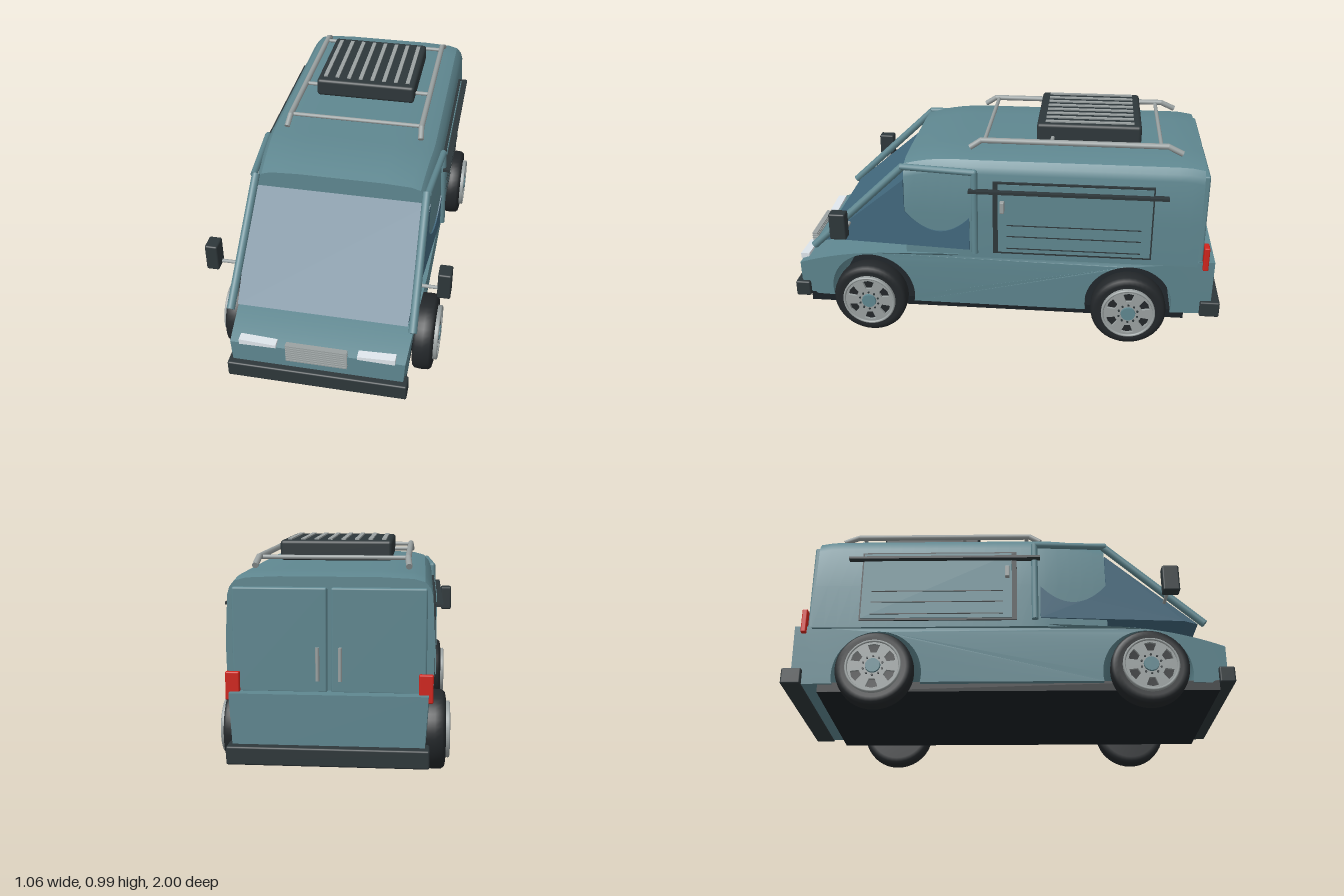
import * as THREE from 'three';
import { toCreasedNormals } from 'three/addons/utils/BufferGeometryUtils.js';
import { RoundedBoxGeometry } from 'three/addons/geometries/RoundedBoxGeometry.js';

const paint = (color) => new THREE.MeshStandardMaterial({ color });
const TEAL = paint(0x5f8790), GLASS = paint(0x42687d), DARK = paint(0x2e373a), TYRE = paint(0x23272a);
const FLOOR = paint(0x1b2125), GREY = paint(0x9aa1a1), RED = paint(0xd0241c), WHITE = paint(0xdfe6ec);
const V = (x, y, z) => new THREE.Vector3(x, y, z);

export function createModel() {
  const van = new THREE.Group();
  van.name = 'van';

  const add = (name, geo, mat, parent = van) => {
    const m = new THREE.Mesh(geo, mat);
    m.name = name;
    parent.add(m);
    return m;
  };
  // box given by its min and max on each axis
  const box = (name, mat, x0, x1, y0, y1, z0, z1, r = 0) => {
    const s = [x1 - x0, y1 - y0, z1 - z0];
    const g = r ? new RoundedBoxGeometry(...s, 3, r) : new THREE.BoxGeometry(...s);
    g.translate((x0 + x1) / 2, (y0 + y1) / 2, (z0 + z1) / 2);
    return add(name, g, mat);
  };
  // box on side s (+1 left, -1 right)
  const sideBox = (s, name, mat, x0, x1, ...rest) =>
    s > 0 ? box(name, mat, x0, x1, ...rest) : box(name, mat, -x1, -x0, ...rest);
  // round bar through points
  const rod = (name, mat, r, ...pts) => {
    const path = new THREE.CurvePath();
    for (let i = 1; i < pts.length; i++) {
      const a = pts[i - 1], b = pts[i], d = b.clone().sub(a), len = d.length();
      const g = new THREE.CylinderGeometry(r, r, len, 12);
      g.applyQuaternion(new THREE.Quaternion().setFromUnitVectors(V(0, 1, 0), d.normalize()));
      g.translate((a.x + b.x) / 2, (a.y + b.y) / 2, (a.z + b.z) / 2);
      add(name, g, mat);
      if (i > 1) add(name, new THREE.SphereGeometry(r, 12, 8).translate(a.x, a.y, a.z), mat);
    }
    return path;
  };
  // move every vertex by a rule, then refresh normals
  const bend = (geo, rule) => {
    const p = geo.attributes.position, v = V(0, 0, 0);
    for (let i = 0; i < p.count; i++) {
      rule(v.fromBufferAttribute(p, i));
      p.setXYZ(i, v.x, v.y, v.z);
    }
    return toCreasedNormals(geo, 0.5);
  };
  // side profile (z, y) extruded across x from -1 to 1
  const across = (shape) => new THREE.ExtrudeGeometry(shape, { depth: 2, bevelEnabled: false, curveSegments: 20 })
    .translate(0, 0, -1).rotateY(-Math.PI / 2);

  const axles = [-0.58, 0.62];

  // Lower body with wheel arches
  const low = new THREE.Shape();
  low.moveTo(0.97, 0.13);
  low.lineTo(0.97, 0.3);
  low.quadraticCurveTo(0.75, 0.378, 0.5, 0.388);
  low.lineTo(0.1, 0.405);
  low.lineTo(-0.96, 0.405);
  low.lineTo(-0.96, 0.13);
  for (const z of axles) low.absarc(z, 0.17, 0.2, Math.PI + 0.2, -0.2, true);
  low.closePath();
  add('lowerBody', bend(across(low), (v) => {
    v.x *= 0.395 + 0.06 * (v.y - 0.13) - 0.05 * Math.max(0, v.z - 0.4) - 0.04 * Math.max(0, -v.z - 0.5);
  }), TEAL);
  box('floor', FLOOR, -0.37, 0.37, 0.095, 0.14, -0.84, 0.93);

  // Upper body: cross-section swept along z, with the roof falling towards the windscreen
  const half = [[0.412, 0.39], [0.416, 0.6], [0.406, 0.8], [0.397, 0.83], [0.375, 0.855], [0.33, 0.867], [0.2, 0.873]];
  const section = new THREE.Shape([...half, ...half.slice().reverse().map(([x, y]) => [-x, y])]
    .map(([x, y]) => new THREE.Vector2(x, y)));
  const upper = new THREE.ExtrudeGeometry(section, { depth: 1.33, steps: 24, bevelEnabled: false }).translate(0, 0, -0.88);
  add('upperBody', bend(upper, (v) => {
    v.x *= 1 - 0.06 * THREE.MathUtils.clamp((v.z - 0.15) / 0.3, 0, 1);
    const t = Math.max(0, (v.z - 0.2) / 0.25), r = Math.max(0, (-v.z - 0.78) / 0.1);
    if (v.y > 0.7) v.y -= 0.037 * t * t + 0.012 * r * r;
  }), TEAL);

  // Windscreen and front side windows in one glazed wedge
  const glass = new THREE.Shape();
  glass.moveTo(0.86, 0.415);
  glass.lineTo(0.45, 0.755);
  glass.lineTo(0.45, 0.6);
  glass.quadraticCurveTo(0.3, 0.43, 0.15, 0.59);
  glass.lineTo(0.15, 0.43);
  glass.lineTo(0.8, 0.43);
  glass.closePath();
  add('cabGlass', bend(across(glass), (v) => { v.x *= 0.42 - 0.073 * (v.z - 0.14); }), GLASS);

  // Bumpers
  box('frontBumper', DARK, -0.39, 0.39, 0.125, 0.2, 0.93, 1, 0.008);
  box('rearBumper', DARK, -0.4, 0.4, 0.125, 0.2, -1, -0.91, 0.008);

  // Grille
  for (let i = 0; i < 8; i++) {
    const y = 0.248 + i * 0.0115;
    box('grilleBar', GREY, -0.132, 0.132, y - 0.003, y + 0.003, 0.96, 0.985);
  }

  for (const s of [1, -1]) {
    // Headlamp: tapers towards the middle
    const lamp = new THREE.Shape([[0.175, 0.303], [0.335, 0.3], [0.335, 0.326], [0.175, 0.318]]
      .map(([x, y]) => new THREE.Vector2(s * x, y)));
    add('headlamp', new THREE.ExtrudeGeometry(lamp, { depth: 0.04, bevelEnabled: false }).translate(0, 0, 0.938), WHITE);

    // Windscreen pillar and door frame
    rod('windscreenPillar', TEAL, 0.018, V(s * 0.378, 0.815, 0.45), V(s * 0.392, 0.405, 0.885));
    rod('doorFrame', TEAL, 0.015, V(s * 0.385, 0.815, 0.46), V(s * 0.413, 0.81, 0.125), V(s * 0.425, 0.42, 0.125));

    // Wing mirror
    rod('mirrorArm', GREY, 0.008, V(s * 0.375, 0.522, 0.715), V(s * 0.48, 0.522, 0.715));
    sideBox(s, 'mirror', DARK, 0.472, 0.528, 0.507, 0.632, 0.69, 0.765, 0.008);

    // Sliding door: dark surround, panel, pressed lines, handle and rail
    sideBox(s, 'slidingDoorSurround', DARK, 0.39, 0.42, 0.42, 0.77, -0.67, 0.043);
    sideBox(s, 'slidingDoor', TEAL, 0.39, 0.424, 0.43, 0.762, -0.663, 0.02);
    for (const y of [0.45, 0.51, 0.565]) sideBox(s, 'doorLine', DARK, 0.41, 0.427, y - 0.002, y + 0.002, -0.62, -0.02);
    sideBox(s, 'slidingDoorHandle', GREY, 0.42, 0.446, 0.63, 0.685, -0.01, 0.01, 0.004);
    sideBox(s, 'slidingDoorRail', DARK, 0.418, 0.45, 0.724, 0.736, -0.73, 0.15);

    // Rear door, handle and tail lamp
    sideBox(s, 'rearDoor', TEAL, 0.008, 0.385, 0.4, 0.82, -0.905, -0.87, 0.008);
    rod('rearDoorHandle', GREY, 0.008, V(s * 0.045, 0.45, -0.915), V(s * 0.045, 0.585, -0.915));
    sideBox(s, 'tailLamp', RED, 0.355, 0.412, 0.37, 0.485, -0.93, -0.905, 0.006);

    // Roof rack rail with bent-down ends
    rod('roofRail', GREY, 0.013, V(s * 0.31, 0.89, 0.155), V(s * 0.305, 0.923, 0.105),
      V(s * 0.305, 0.923, -0.72), V(s * 0.31, 0.893, -0.785));
  }

  // Roof rack cross bars and roof box
  for (const z of [0.09, -0.21, -0.69]) rod('roofCrossBar', GREY, 0.009, V(-0.305, 0.92, z), V(0.305, 0.92, z));
  box('roofBox', DARK, -0.236, 0.236, 0.898, 0.983, -0.605, -0.137, 0.015);
  for (let i = 0; i < 8; i++) {
    const x = -0.2 + i * 0.057;
    box('roofBoxSlat', GREY, x - 0.009, x + 0.009, 0.975, 0.989, -0.57, -0.175);
  }

  // Wheel parts, built facing +x
  const tyreGeo = new THREE.LatheGeometry([[0, -0.045], [0.14, -0.045], [0.16, -0.042], [0.17, -0.03], [0.172, 0],
    [0.17, 0.03], [0.16, 0.042], [0.14, 0.046], [0.115, 0.04], [0, 0.04]]
    .map(([r, h]) => new THREE.Vector2(r, h)), 40).rotateZ(-Math.PI / 2);
  const rim = new THREE.Shape().absarc(0, 0, 0.122, 0, Math.PI * 2);
  for (let i = 0; i < 6; i++) {
    const a = i * Math.PI / 3 + Math.PI / 6;
    rim.holes.push(new THREE.Path([[0.063, -0.2], [0.1, -0.27], [0.103, 0], [0.1, 0.27], [0.063, 0.2]]
      .map(([r, d]) => new THREE.Vector2(r * Math.cos(a + d), r * Math.sin(a + d)))));
  }
  const rimGeo = new THREE.ExtrudeGeometry(rim, { depth: 0.013, bevelEnabled: false, curveSegments: 40 })
    .rotateY(Math.PI / 2).translate(0.044, 0, 0);
  const lipGeo = new THREE.TorusGeometry(0.117, 0.006, 8, 40).rotateY(Math.PI / 2).translate(0.058, 0, 0);
  const hubGeo = new THREE.CylinderGeometry(0.032, 0.036, 0.02, 24).rotateZ(-Math.PI / 2).translate(0.055, 0, 0);
  const nutGeo = new THREE.CylinderGeometry(0.005, 0.005, 0.012, 6).rotateZ(-Math.PI / 2).translate(0.056, 0, 0);

  for (const z of axles) for (const s of [1, -1]) {
    const wheel = new THREE.Group();
    wheel.name = z > 0 ? 'frontWheel' : 'rearWheel';
    add('tyre', tyreGeo, TYRE, wheel);
    add('rim', rimGeo, GREY, wheel);
    add('rimLip', lipGeo, GREY, wheel);
    add('hub', hubGeo, TEAL, wheel);
    for (let i = 0; i < 10; i++) {
      const a = i * Math.PI / 5;
      add('wheelNut', nutGeo, DARK, wheel).position.set(0, 0.044 * Math.cos(a), 0.044 * Math.sin(a));
    }
    wheel.position.set(s * 0.424, 0.172, z);
    if (s < 0) wheel.rotation.y = Math.PI;
    van.add(wheel);
  }
  return van;
}
